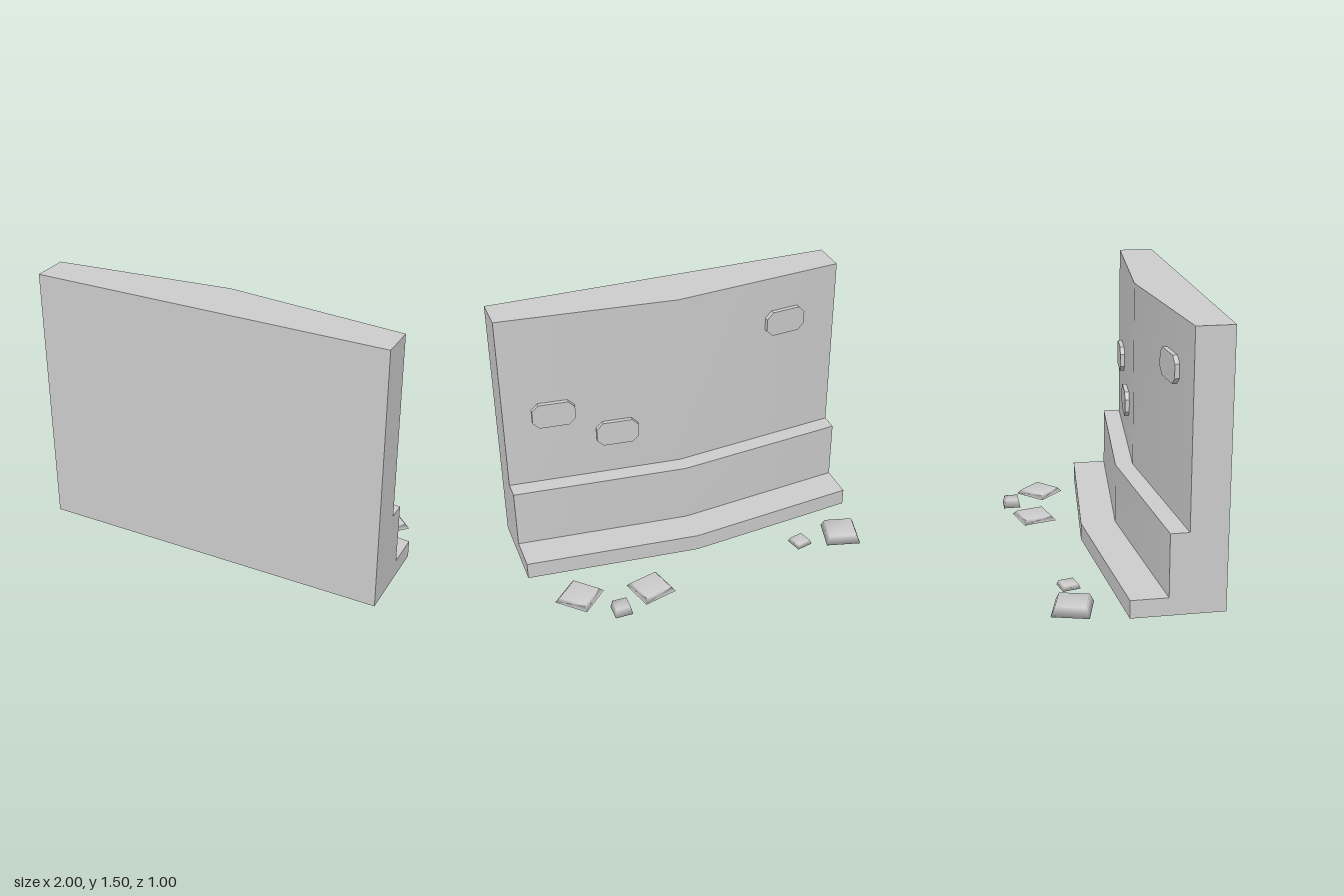
import * as THREE from 'three';
import { mergeVertices, toCreasedNormals } from 'three/addons/utils/BufferGeometryUtils.js';

const material = new THREE.MeshStandardMaterial({ color: 0xcccccc });
const BEND = 0.1; // how far the back bulges at the middle

function addMesh(parent, name, geometry) {
  const mesh = new THREE.Mesh(geometry, material);
  mesh.name = name;
  parent.add(mesh);
  return mesh;
}

// Stepped wall: (z, y) profile swept along x, with the back pushed out at mid-length
function wallGeometry() {
  const profile = [[0.5, 0], [0.5, 1.5], [0.3, 1.5], [0.3, 0.45], [0.2, 0.45], [0.2, 0.1], [0, 0.1], [0, 0]];
  const shape = new THREE.Shape(profile.map(([z, y]) => new THREE.Vector2(z, y)));
  const geometry = new THREE.ExtrudeGeometry(shape, { depth: 2, steps: 2, bevelEnabled: false });
  geometry.rotateY(-Math.PI / 2).translate(1, 0, 0);
  const p = geometry.attributes.position;
  for (let i = 0; i < p.count; i++) {
    if (p.getZ(i) < 0.45) p.setZ(i, p.getZ(i) - BEND * (1 - Math.abs(p.getX(i))));
  }
  geometry.deleteAttribute('uv');
  return toCreasedNormals(geometry, 0.5);
}

// Thin brick face with cut corners
function brickGeometry() {
  const w = 0.121, h = 0.074, c = 0.037;
  const points = [[w, h - c], [w - c, h], [c - w, h], [-w, h - c], [-w, c - h], [c - w, -h], [w - c, -h], [w, c - h]];
  const shape = new THREE.Shape(points.map(([x, y]) => new THREE.Vector2(x, y)));
  return new THREE.ExtrudeGeometry(shape, { depth: 0.025, bevelEnabled: false }).translate(0, 0, -0.025);
}

// Smooth-shaded block with a slightly smaller top
function stoneGeometry(size, height) {
  let geometry = new THREE.BoxGeometry(size, height, size).translate(0, height / 2, 0);
  const p = geometry.attributes.position;
  for (let i = 0; i < p.count; i++) {
    if (p.getY(i) > height / 2) p.setXYZ(i, p.getX(i) * 0.8, p.getY(i), p.getZ(i) * 0.8);
  }
  geometry.deleteAttribute('uv');
  geometry.deleteAttribute('normal');
  geometry = mergeVertices(geometry);
  geometry.computeVertexNormals();
  return geometry;
}

export function createModel() {
  const model = new THREE.Group();
  model.name = 'brokenWall';
  addMesh(model, 'wall', wallGeometry());

  // Exposed bricks lying on the sloping back: x, y
  for (const [x, y] of [[0.365, 0.718], [0.72, 0.895], [-0.665, 1.22]]) {
    const brick = addMesh(model, 'brick', brickGeometry());
    brick.position.set(x, y, 0.2 + BEND * Math.abs(x));
    brick.rotation.y = -Math.sign(x) * Math.atan(BEND);
  }

  // Loose stones behind the wall: x, z, size, height, turn
  const stones = [
    [-0.85, -0.27, 0.2, 0.05, -0.26],
    [-0.59, -0.255, 0.1, 0.025, 0.24],
    [0.372, -0.332, 0.2, 0.025, 0.26],
    [0.585, -0.45, 0.1, 0.05, 0],
    [0.77, -0.255, 0.2, 0.025, Math.PI / 4],
  ];
  for (const [x, z, size, height, turn] of stones) {
    const stone = addMesh(model, 'stone', stoneGeometry(size, height));
    stone.position.set(x, 0, z);
    stone.rotation.y = turn;
  }
  return model;
}
